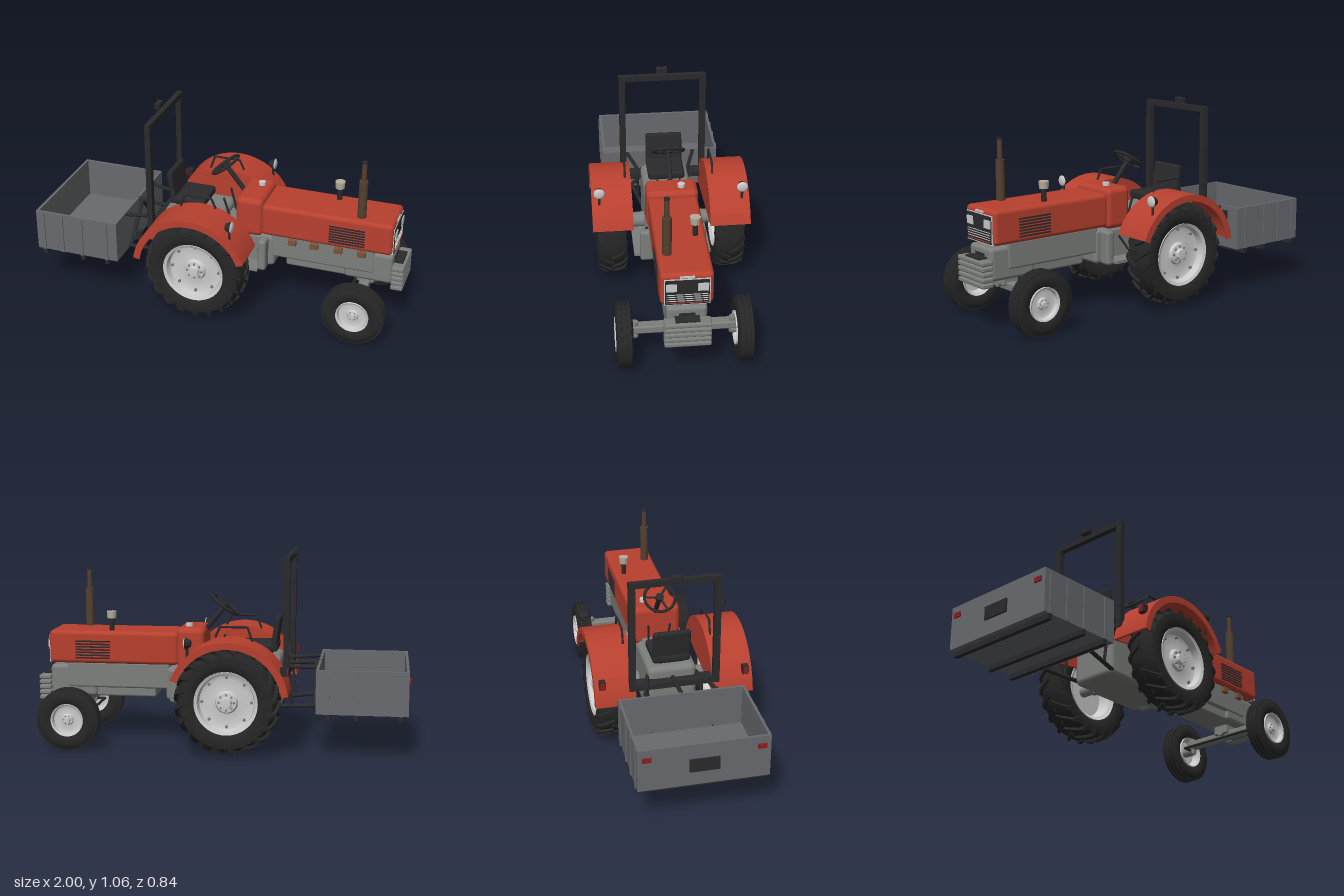
import * as THREE from 'three';
import { toCreasedNormals } from 'three/addons/utils/BufferGeometryUtils.js';
import { RoundedBoxGeometry } from 'three/addons/geometries/RoundedBoxGeometry.js';

const mat = (color) => new THREE.MeshStandardMaterial({ color, side: THREE.DoubleSide });
const red = mat(0xb8402f), grey = mat(0x7c7f7b), dark = mat(0x2a2a2c), rubber = mat(0x262626), silver = mat(0xc4c4c4);
const steel = mat(0x686a6e), brown = mat(0x55402f), rust = mat(0x7a5238), cream = mat(0xb5ac9c), lampRed = mat(0x8a2020);
const V = (x, y, z) => new THREE.Vector3(x, y, z);

function add(parent, name, geometry, material, x = 0, y = 0, z = 0) {
  const m = new THREE.Mesh(geometry, material);
  m.name = name;
  m.position.set(x, y, z);
  parent.add(m);
  return m;
}
// Box given by its limits, optionally with rounded edges
function box(parent, name, material, x0, x1, y0, y1, z0, z1, r = 0) {
  const s = [x1 - x0, y1 - y0, z1 - z0];
  const g = r ? new RoundedBoxGeometry(...s, 3, r) : new THREE.BoxGeometry(...s);
  return add(parent, name, g, material, (x0 + x1) / 2, (y0 + y1) / 2, (z0 + z1) / 2);
}
// Round bar between two points
function rod(parent, name, material, a, b, r, r2 = r, sides = 20) {
  const d = b.clone().sub(a);
  const m = add(parent, name, new THREE.CylinderGeometry(r2, r, d.length(), sides), material);
  m.position.copy(a).add(b).multiplyScalar(0.5);
  m.quaternion.setFromUnitVectors(V(0, 1, 0), d.normalize());
  return m;
}
function lathe(points) {
  const g = new THREE.LatheGeometry(points.map((p) => new THREE.Vector2(...p)), 48);
  return toCreasedNormals(g.rotateX(Math.PI / 2), 0.6);
}
// Solid bar lofted through four-cornered sections
function loft(sections) {
  const pos = sections.flat().flatMap((p) => p.toArray()), idx = [], n = sections.length;
  for (let i = 0; i < n - 1; i++)
    for (let k = 0; k < 4; k++) {
      const a = i * 4 + k, b = i * 4 + ((k + 1) % 4);
      idx.push(a, b, a + 4, b, b + 4, a + 4);
    }
  const e = (n - 1) * 4;
  idx.push(0, 2, 1, 0, 3, 2, e, e + 1, e + 2, e, e + 2, e + 3);
  const g = new THREE.BufferGeometry();
  g.setAttribute('position', new THREE.Float32BufferAttribute(pos, 3));
  g.setIndex(idx);
  return toCreasedNormals(g, 0.4);
}
// One tread lug from the tyre centre line to its shoulder
function lug(side) {
  const path = [[-0.006, 0.258, 0.277, 0], [0.04, 0.255, 0.275, 0.1], [0.072, 0.243, 0.265, 0.2], [0.084, 0.215, 0.225, 0.29]];
  return loft(path.map(([z, r0, r1, a]) => [[r0, -1], [r0, 1], [r1, 1], [r1, -1]].map(([r, s]) => {
    const t = a + s * 0.04;
    return V(Math.cos(t) * r, Math.sin(t) * r, z * side);
  })));
}

function wheel(parent, name, x, y, z, rear) {
  const g = new THREE.Group();
  g.name = name;
  g.position.set(x, y, z);
  parent.add(g);
  const half = rear
    ? [[0.158, -0.062], [0.18, -0.076], [0.21, -0.081], [0.24, -0.077], [0.255, -0.055], [0.261, -0.02]]
    : [[0.083, -0.03], [0.1, -0.04], [0.125, -0.043], [0.148, -0.038], [0.158, -0.03], [0.159, -0.012]];
  add(g, 'tyre', lathe([...half, ...half.map(([r, w]) => [r, -w]).reverse()]), rubber);
  if (rear) {
    for (const side of [-1, 1]) {
      const shape = lug(side);
      for (let i = 0; i < 20; i++)
        add(g, 'treadLug', shape, rubber).rotation.z = ((i + (side > 0 ? 0.5 : 0)) * Math.PI) / 10;
    }
  } else {
    for (const w of [-0.025, 0, 0.025])
      add(g, 'treadRib', lathe([[0.155, w - 0.009], [0.166, w - 0.007], [0.166, w + 0.007], [0.155, w + 0.009]]), rubber);
  }
  // Dished rim, hub and bolts facing outwards
  const rim = new THREE.Group();
  rim.name = 'rim';
  if (z < 0) rim.rotation.y = Math.PI;
  g.add(rim);
  const k = rear ? 1 : 0.52;
  const p = [[0, 0], [0.13, 0], [0.145, -0.06], [0.166, -0.075], [0.166, 0.073], [0.15, 0.066], [0.142, 0.03], [0.12, 0.022],
    [0.06, 0.03], [0.052, 0.045], [0.03, 0.048], [0.026, 0.066], [0, 0.068]];
  add(rim, 'wheelDisc', lathe(p.map(([r, w]) => [r * k, w * (rear ? 1 : 0.6)])), silver);
  const n = rear ? 8 : 6;
  for (let i = 0; i < n; i++) {
    const a = (i / n) * Math.PI * 2, r = 0.04 * k;
    rod(rim, 'bolt', grey, V(Math.cos(a) * r, Math.sin(a) * r, 0.02), V(Math.cos(a) * r, Math.sin(a) * r, rear ? 0.053 : 0.034), 0.006 * k, 0.006 * k, 6);
    if (rear) rod(rim, 'rimLug', grey, V(Math.cos(a) * 0.13, Math.sin(a) * 0.13, 0.02), V(Math.cos(a) * 0.13, Math.sin(a) * 0.13, 0.035), 0.008, 0.008, 8);
  }
}

// Sector of a ring; an inner radius of 0 closes it with a straight chord
function sector(r0, r1, a0, a1, depth) {
  const s = new THREE.Shape();
  s.absarc(0, 0, r1, a0, a1, false);
  if (r0) s.absarc(0, 0, r0, a1, a0, true);
  return toCreasedNormals(new THREE.ExtrudeGeometry(s, { depth, bevelEnabled: false, curveSegments: 40 }), 0.5);
}

function fender(parent, s) {
  const g = new THREE.Group();
  g.name = s > 0 ? 'leftFender' : 'rightFender';
  parent.add(g);
  const a0 = 0.37, a1 = 3.0, at = (d, w) => (s > 0 ? d : -d - w);
  add(g, 'fenderTop', sector(0.304, 0.316, a0, a1, 0.215), red, -0.07, 0.295, at(0.205, 0.215));
  add(g, 'fenderLip', sector(0.28, 0.316, a0, a1, 0.008), red, -0.07, 0.295, at(0.412, 0.008));
  add(g, 'fenderInnerPanel', sector(0, 0.31, a0, a1, 0.01), red, -0.07, 0.295, at(0.205, 0.01));
  // Grab rail
  const pts = [[-0.18, 0.59], [-0.155, 0.665], [-0.01, 0.665], [0.015, 0.61]].map(([x, y]) => V(x, y, s * 0.235));
  for (let i = 0; i < 3; i++) rod(g, 'grabRail', dark, pts[i], pts[i + 1], 0.006);
  // Work lamp in front, marker lamp behind
  rod(g, 'lampStalk', dark, V(0.14, 0.5, s * 0.38), V(0.14, 0.6, s * 0.38), 0.007);
  rod(g, 'headlampShell', dark, V(0.12, 0.598, s * 0.38), V(0.15, 0.598, s * 0.38), 0.018, 0.031);
  add(g, 'headlampLens', new THREE.SphereGeometry(0.03, 24, 12), silver, 0.15, 0.598, s * 0.38).scale.x = 0.35;
  box(g, 'rearLampHousing', dark, -0.375, -0.34, 0.44, 0.485, s * 0.38 - 0.016, s * 0.38 + 0.016);
  box(g, 'rearLampLens', lampRed, -0.38, -0.374, 0.445, 0.48, s * 0.38 - 0.012, s * 0.38 + 0.012);
}

export function createModel() {
  const t = new THREE.Group();
  t.name = 'tractorWithTransportBox';

  // Bonnet, cowl and grille
  box(t, 'bonnet', red, 0.23, 0.935, 0.435, 0.612, -0.13, 0.13, 0.022);
  box(t, 'cowl', red, 0.088, 0.238, 0.42, 0.638, -0.137, 0.137, 0.03);
  box(t, 'grilleFrame', silver, 0.925, 0.938, 0.438, 0.586, -0.112, 0.112);
  box(t, 'grille', dark, 0.93, 0.941, 0.443, 0.581, -0.107, 0.107);
  box(t, 'bonnetTrim', silver, 0.925, 0.938, 0.59, 0.6, -0.035, 0.035);
  for (let i = 0; i < 5; i++) box(t, 'grilleBar', i ? silver : red, 0.935, 0.944, 0.45 + i * 0.012, 0.453 + i * 0.012, -0.1, 0.1);
  for (const s of [-1, 1]) {
    box(t, 'frontHeadlight', silver, 0.935, 0.946, 0.52, 0.562, s * 0.077 - 0.026, s * 0.077 + 0.026);
    for (let i = 0; i < 7; i++) box(t, 'sideLouvre', dark, 0.6, 0.79, 0.462 + i * 0.015, 0.47 + i * 0.015, s * 0.13 - 0.003, s * 0.13 + 0.003);
  }
  rod(t, 'fuelCap', silver, V(0.18, 0.63, -0.05), V(0.18, 0.656, -0.05), 0.019);

  // Exhaust and air intake
  rod(t, 'exhaustBase', brown, V(0.757, 0.6, 0.08), V(0.757, 0.66, 0.08), 0.015);
  rod(t, 'muffler', brown, V(0.757, 0.615, 0.08), V(0.757, 0.822, 0.08), 0.023);
  rod(t, 'exhaustPipe', brown, V(0.757, 0.82, 0.08), V(0.757, 0.92, 0.08), 0.013);
  rod(t, 'exhaustCap', dark, V(0.757, 0.922, 0.08), V(0.757, 0.93, 0.08), 0.015);
  rod(t, 'intakeStem', dark, V(0.6, 0.6, -0.075), V(0.6, 0.685, -0.075), 0.014);
  rod(t, 'intakeCap', cream, V(0.6, 0.678, -0.075), V(0.6, 0.716, -0.075), 0.024, 0.027);

  // Engine, gearbox, axle housings and footplates
  box(t, 'engineBlock', grey, 0.28, 0.84, 0.3, 0.44, -0.105, 0.105, 0.012);
  box(t, 'oilSump', grey, 0.36, 0.7, 0.25, 0.32, -0.085, 0.085, 0.012);
  box(t, 'frontSupport', grey, 0.68, 0.938, 0.25, 0.42, -0.1, 0.1, 0.02);
  box(t, 'frontSupportRecess', dark, 0.93, 0.941, 0.367, 0.387, -0.04, 0.04);
  box(t, 'gearbox', grey, -0.1, 0.3, 0.24, 0.42, -0.11, 0.11, 0.02);
  box(t, 'rearHousing', grey, -0.32, 0.01, 0.2, 0.5, -0.13, 0.13, 0.03);
  box(t, 'transmissionTunnel', grey, -0.02, 0.2, 0.38, 0.46, -0.08, 0.08, 0.02);
  for (const x of [0.4, 0.52, 0.65, 0.775]) box(t, 'exhaustPort', rust, x - 0.022, x + 0.022, 0.395, 0.428, 0.1, 0.125, 0.004);
  for (const s of [-1, 1]) {
    rod(t, 'axleHousing', grey, V(-0.06, 0.295, s * 0.1), V(-0.06, 0.295, s * 0.24), 0.045, 0.037);
    rod(t, 'axleShaft', grey, V(-0.06, 0.295, s * 0.22), V(-0.06, 0.295, s * 0.33), 0.028);
    box(t, 'footplate', grey, -0.1, 0.235, 0.25, 0.265, s * 0.155 - 0.05, s * 0.155 + 0.05);
    box(t, 'footplateFront', grey, 0.225, 0.27, 0.24, 0.42, s * 0.14 - 0.035, s * 0.14 + 0.035, 0.015);
    rod(t, 'pedal', dark, V(0.1, 0.28, s * 0.16), V(0.16, 0.38, s * 0.13), 0.006);
  }

  // Front axle, steering rod and ballast weights
  box(t, 'frontAxle', grey, 0.76, 0.815, 0.178, 0.22, -0.265, 0.265, 0.008);
  box(t, 'axlePivotBlock', grey, 0.74, 0.835, 0.2, 0.27, -0.045, 0.045, 0.01);
  rod(t, 'axlePivot', grey, V(0.74, 0.215, 0), V(0.845, 0.215, 0), 0.022);
  rod(t, 'tieRod', dark, V(0.72, 0.168, -0.245), V(0.72, 0.168, 0.245), 0.007);
  for (let i = 0; i < 5; i++) box(t, 'frontWeight', grey, 0.935, 1, 0.228 + i * 0.028, 0.252 + i * 0.028, -0.115, 0.115, 0.008);
  box(t, 'weightBracket', dark, 0.93, 0.985, 0.232, 0.372, -0.06, 0.06);

  // Wheels, fenders and front hubs
  for (const s of [-1, 1]) {
    const side = s > 0 ? 'left' : 'right';
    wheel(t, side + 'RearWheel', -0.06, 0.29, s * 0.318, true);
    wheel(t, side + 'FrontWheel', 0.79, 0.167, s * 0.3, false);
    rod(t, 'frontHub', grey, V(0.79, 0.167, s * 0.235), V(0.79, 0.167, s * 0.31), 0.025);
    rod(t, 'steeringKnuckle', grey, V(0.79, 0.15, s * 0.245), V(0.79, 0.24, s * 0.245), 0.018);
    rod(t, 'steeringArm', dark, V(0.72, 0.168, s * 0.24), V(0.79, 0.168, s * 0.245), 0.008);
    fender(t, s);
  }

  // Seat
  box(t, 'seatBase', dark, -0.27, -0.14, 0.49, 0.52, -0.07, 0.07);
  box(t, 'seatCushion', dark, -0.3, -0.1, 0.515, 0.56, -0.1, 0.1, 0.015);
  box(t, 'seatBack', dark, -0.304, -0.274, 0.545, 0.7, -0.1, 0.1, 0.012).rotation.z = 0.14;

  // Steering wheel and levers
  const hub = V(-0.01, 0.75, 0);
  rod(t, 'steeringColumn', dark, V(0.11, 0.6, 0), hub, 0.013);
  const sw = new THREE.Group();
  sw.name = 'steeringWheel';
  sw.position.copy(hub);
  sw.quaternion.setFromUnitVectors(V(0, 0, 1), V(-0.6, 0.8, 0).normalize());
  t.add(sw);
  add(sw, 'steeringRim', new THREE.TorusGeometry(0.082, 0.008, 10, 40), dark);
  rod(sw, 'steeringHub', dark, V(0, 0, -0.012), V(0, 0, 0.012), 0.022);
  for (let i = 0; i < 3; i++) rod(sw, 'steeringSpoke', dark, V(0, 0, 0), V(Math.cos(i * 2.094) * 0.08, Math.sin(i * 2.094) * 0.08, 0), 0.006);
  for (const s of [-1, 1]) rod(t, 'gearLever', dark, V(0.04, 0.44, s * 0.05), V(0, 0.58, s * 0.06), 0.006);

  // Roll bar with beacon box
  for (const s of [-1, 1]) box(t, 'rollBarPost', dark, -0.372, -0.342, 0.42, 1.03, s * 0.222 - 0.017, s * 0.222 + 0.017);
  box(t, 'rollBarTop', dark, -0.372, -0.342, 1, 1.03, -0.239, 0.239);
  box(t, 'rollBarFoot', dark, -0.372, -0.3, 0.41, 0.44, -0.239, 0.239);
  box(t, 'rearWorkLamp', dark, -0.4, -0.37, 1.025, 1.06, -0.03, 0.03, 0.005);

  // Rear linkage
  rod(t, 'topLink', dark, V(-0.53, 0.455, 0), V(-0.3, 0.44, 0), 0.011);
  for (const s of [-1, 1]) {
    rod(t, 'lowerLink', dark, V(-0.53, 0.25, s * 0.17), V(-0.26, 0.225, s * 0.11), 0.011);
    rod(t, 'liftArm', dark, V(-0.52, 0.455, s * 0.19), V(-0.26, 0.445, s * 0.12), 0.01);
    rod(t, 'liftRod', dark, V(-0.36, 0.45, s * 0.147), V(-0.38, 0.238, s * 0.137), 0.008);
    rod(t, 'headstock', dark, V(-0.505, 0.25, s * 0.17), V(-0.5, 0.455, 0), 0.011);
  }

  // Open transport box
  const bx = new THREE.Group();
  bx.name = 'transportBox';
  t.add(bx);
  box(bx, 'boxFloor', steel, -0.99, -0.517, 0.235, 0.247, -0.33, 0.33);
  for (const s of [-1, 1]) {
    box(bx, 'boxSide', steel, -0.99, -0.517, 0.235, 0.465, s * 0.323 - 0.007, s * 0.323 + 0.007);
    for (const x of [-0.95, -0.84, -0.725, -0.58]) box(bx, 'sideRib', steel, x - 0.009, x + 0.009, 0.235, 0.458, s * 0.332 - 0.004, s * 0.332 + 0.004);
    box(bx, 'tailLamp', lampRed, -0.999, -0.985, 0.4, 0.425, s * 0.285 - 0.022, s * 0.285 + 0.022);
  }
  box(bx, 'boxFront', steel, -0.531, -0.517, 0.235, 0.465, -0.33, 0.33);
  box(bx, 'boxTail', steel, -0.99, -0.976, 0.235, 0.465, -0.33, 0.33);
  box(bx, 'rearPlate', dark, -1, -0.985, 0.315, 0.385, -0.075, 0.075);
  for (const x of [-0.95, -0.725, -0.58]) box(bx, 'floorRunner', dark, x - 0.012, x + 0.012, 0.207, 0.236, -0.33, 0.33);
  return t;
}
